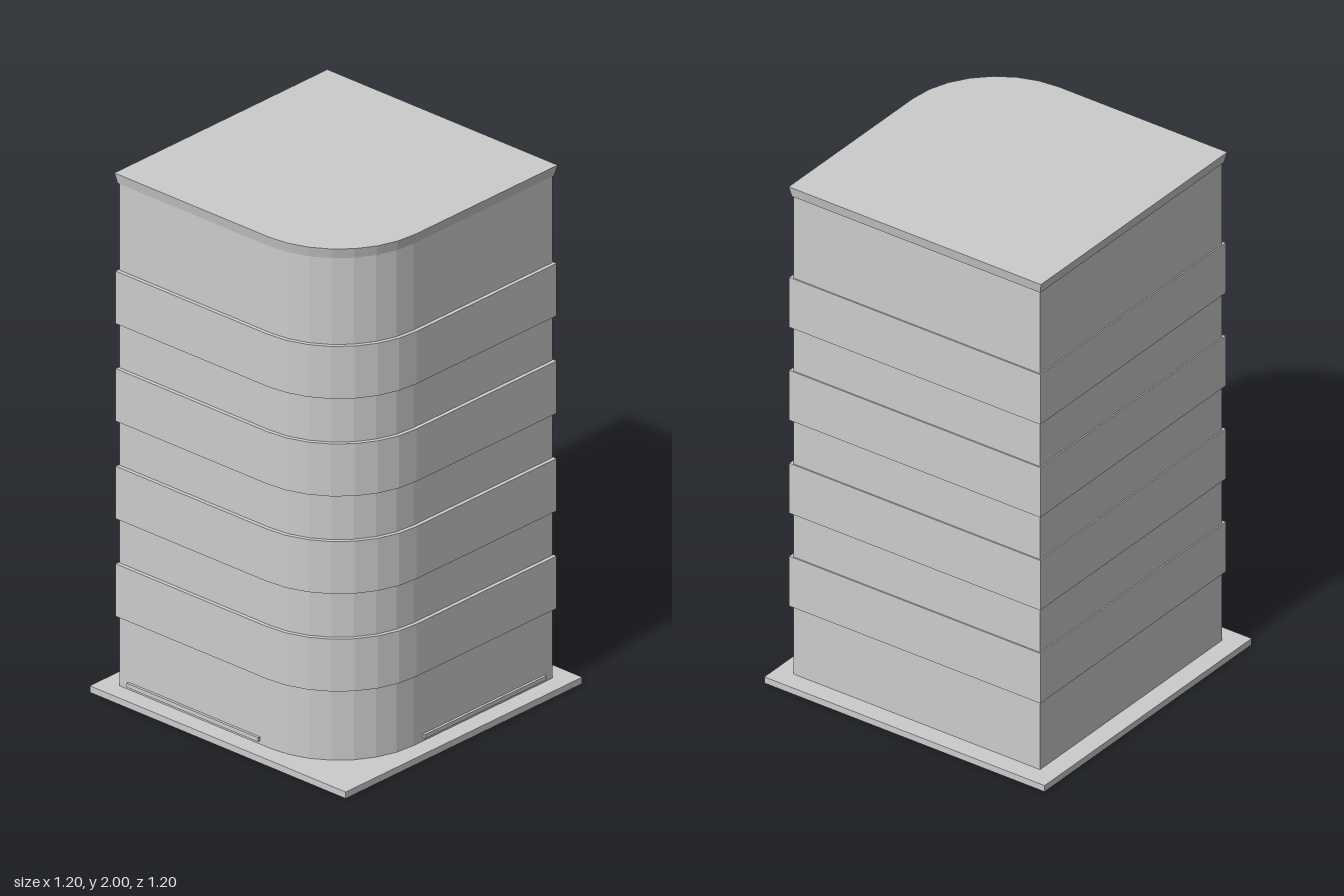
import * as THREE from 'three';

const material = new THREE.MeshStandardMaterial({ color: 0xcccccc, flatShading: true });
const SEGMENTS = 7; // facets on the rounded corner

// Square plan with one rounded corner at (-x, +z); lo = -x/+z reach, hi = +x/-z reach
function planPoints(lo, hi) {
  const c = -0.18, r = lo + c;
  const pts = [[hi, -hi], [hi, lo]];
  for (let i = 0; i <= SEGMENTS; i++) {
    const a = (i / SEGMENTS) * Math.PI / 2;
    pts.push([c - r * Math.sin(a), -c + r * Math.cos(a)]);
  }
  pts.push([-lo, -hi]);
  return pts.map(([x, z]) => new THREE.Vector2(x, -z)); // shape y becomes -z
}

function extrudeUp(shape, y0, y1) {
  const g = new THREE.ExtrudeGeometry(shape, { depth: y1 - y0, bevelEnabled: false });
  g.rotateX(-Math.PI / 2);
  g.translate(0, y0, 0);
  return g;
}

export function createModel() {
  const model = new THREE.Group();
  model.name = 'towerBlock';
  const add = (name, geometry) => {
    const mesh = new THREE.Mesh(geometry, material);
    mesh.name = name;
    model.add(mesh);
    return mesh;
  };
  const plan = (lo, hi) => new THREE.Shape(planPoints(lo, hi));

  // Ground slab, with a narrow groove below the walls
  const slab = new THREE.Shape([[-0.6, -0.6], [0.6, -0.6], [0.6, 0.6], [-0.6, 0.6]]
    .map(([x, y]) => new THREE.Vector2(x, y)));
  slab.holes.push(new THREE.Path(planPoints(0.53, 0.525)));
  add('groundSlab', extrudeUp(slab, 0, 0.025));
  add('groundFloor', extrudeUp(plan(0.517, 0.512), 0, 0.025));

  // Main body
  add('body', extrudeUp(plan(0.53, 0.525), 0.015, 1.97));

  // Projecting bands, one per storey
  for (let i = 0; i < 4; i++) {
    const y = 0.297 + i * 0.376;
    add('floorBand' + (i + 1), extrudeUp(plan(0.545, 0.53), y, y + 0.202));
  }

  // Roof cap, flaring outwards towards the top
  const roof = extrudeUp(plan(0.54, 0.54), 1.96, 2);
  const p = roof.attributes.position;
  for (let i = 0; i < p.count; i++) {
    if (p.getY(i) < 1.98) {
      p.setX(i, p.getX(i) * 0.985);
      p.setZ(i, p.getZ(i) * 0.985);
    }
  }
  roof.computeVertexNormals();
  add('roofCap', roof);

  // Low sills on the two faces beside the rounded corner
  add('frontSill', new THREE.BoxGeometry(0.615, 0.016, 0.02)).position.set(0.175, 0.045, 0.53);
  add('sideSill', new THREE.BoxGeometry(0.02, 0.016, 0.615)).position.set(-0.53, 0.045, -0.175);

  return model;
}
